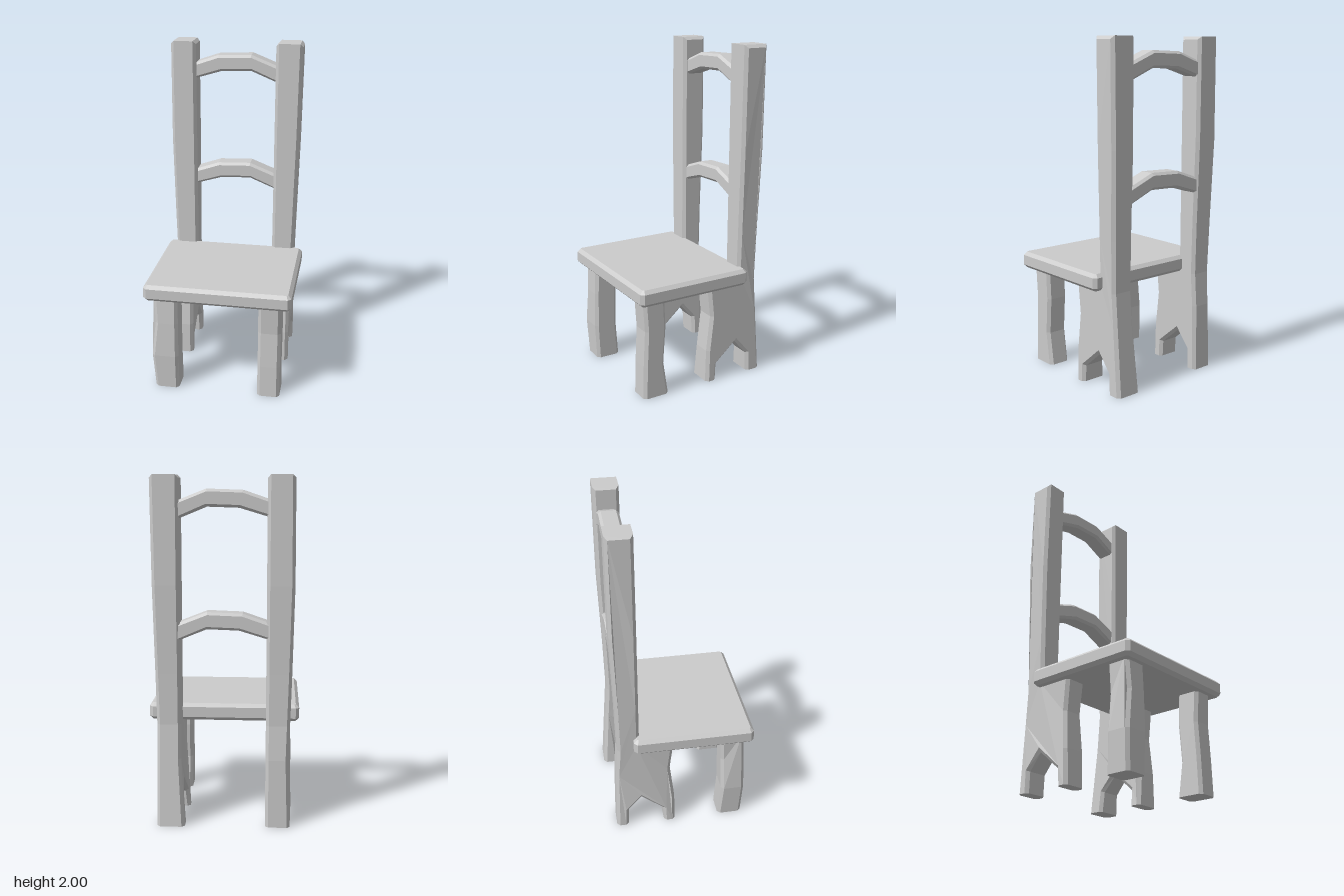
import * as THREE from 'three';

const material = new THREE.MeshStandardMaterial({ color: 0xcccccc, flatShading: true });
const BEVEL = 0.018;
const LEG_X = 0.31, LEG_WIDTH = 0.14;

// Chamfered extrusion of an outline, centred on its depth; the bevel stays inside the outline.
function chamferedExtrude(points, depth, bevel = BEVEL) {
  const shape = new THREE.Shape(points.map(([x, y]) => new THREE.Vector2(x, y)));
  const geometry = new THREE.ExtrudeGeometry(shape, {
    depth: depth - 2 * bevel, bevelEnabled: true, bevelSegments: 1,
    bevelThickness: bevel, bevelSize: bevel, bevelOffset: -bevel, curveSegments: 1,
  });
  return geometry.translate(0, 0, -depth / 2 + bevel);
}

// Piecewise-linear lookup in [y, value] pairs.
function sample(table, y) {
  if (y <= table[0][0]) return table[0][1];
  for (let i = 1; i < table.length; i++) {
    const [y0, v0] = table[i - 1], [y1, v1] = table[i];
    if (y <= y1) return v0 + (v1 - v0) * (y - y0) / (y1 - y0);
  }
  return table[table.length - 1][1];
}

// A leg from a [z, y] side profile; its outer and inner faces are bent by offsets along y.
function legGeometry(profile, side, outer, inner) {
  const geometry = chamferedExtrude(profile.map(([z, y]) => [-z, y]), LEG_WIDTH);
  geometry.rotateY(Math.PI / 2);
  const p = geometry.attributes.position;
  for (let i = 0; i < p.count; i++) {
    const y = p.getY(i) < 0.03 ? 0 : p.getY(i); // flat sole
    const offset = sample(p.getX(i) * side > 0 ? outer : inner, y);
    p.setXYZ(i, p.getX(i) + side * (LEG_X + offset), y, p.getZ(i));
  }
  geometry.computeVertexNormals();
  return geometry;
}

export function createModel() {
  const model = new THREE.Group();
  model.name = 'chair';
  const add = (name, geometry) => {
    const mesh = new THREE.Mesh(geometry, material);
    mesh.name = name;
    model.add(mesh);
    return mesh;
  };

  // Seat slab with cut corners
  const w = 0.435, back = -0.29, front = 0.43, c = 0.02;
  const seat = chamferedExtrude([
    [-w + c, -front], [w - c, -front], [w, -front + c], [w, -back - c],
    [w - c, -back], [-w + c, -back], [-w, -back - c], [-w, -front + c],
  ], 0.1, 0.02);
  add('seat', seat.rotateX(-Math.PI / 2).translate(0, 0.65, 0));

  // Front legs, hand-carved and slightly uneven
  const straight = [[0, 0]];
  add('leftFrontLeg', legGeometry([
    [0.385, 0], [0.38, 0.2], [0.37, 0.42], [0.385, 0.64],
    [0.245, 0.64], [0.235, 0.42], [0.25, 0.2], [0.22, 0],
  ], 1, [[0, -0.005]], straight));
  add('rightFrontLeg', legGeometry([
    [0.385, 0], [0.395, 0.22], [0.39, 0.44], [0.38, 0.64],
    [0.24, 0.64], [0.245, 0.44], [0.25, 0.22], [0.235, 0],
  ], -1, [[0, 0.005], [0.22, 0.02], [0.44, -0.005], [0.64, 0.005]], straight));

  // Back posts: a tall upright joined to a short notched foot
  const postProfile = (heel) => [
    [heel, 0], [-0.335, 0], [-0.33, 0.12], [-0.25, 0.215], [-0.115, 0.1], [-0.11, 0],
    [-0.04, 0], [-0.045, 0.2], [-0.07, 0.42], [-0.05, 0.6], [-0.05, 0.65],
    [-0.255, 0.65], [-0.255, 0.9], [-0.255, 1.4], [-0.255, 2],
    [-0.405, 2], [-0.405, 1.4], [-0.39, 0.9], [-0.385, 0.6], [-0.40, 0.4],
  ].reverse();
  add('leftBackPost', legGeometry(postProfile(-0.43), 1,
    [[0, 0], [0.65, -0.002], [0.9, 0.004], [1.4, 0.014], [2, 0.02]],
    [[0, -0.02], [0.2, 0]]));
  add('rightBackPost', legGeometry(postProfile(-0.408), -1,
    [[0, 0.008], [0.2, 0.012], [0.42, -0.005], [0.65, 0.004], [0.9, 0.01], [1.4, 0.02], [2, 0.016]],
    [[0, 0.004]]));

  // Arched back rails
  const rail = [
    [-0.28, 1.765], [-0.09, 1.822], [0.09, 1.828], [0.28, 1.75],
    [0.28, 1.85], [0.09, 1.925], [-0.11, 1.918], [-0.28, 1.86],
  ];
  for (const [name, drop] of [['topRail', 0], ['lowerRail', 0.675]]) {
    const geometry = chamferedExtrude(rail, 0.115, 0.015);
    add(name, geometry.translate(0, -drop, -0.333));
  }
  return model;
}
